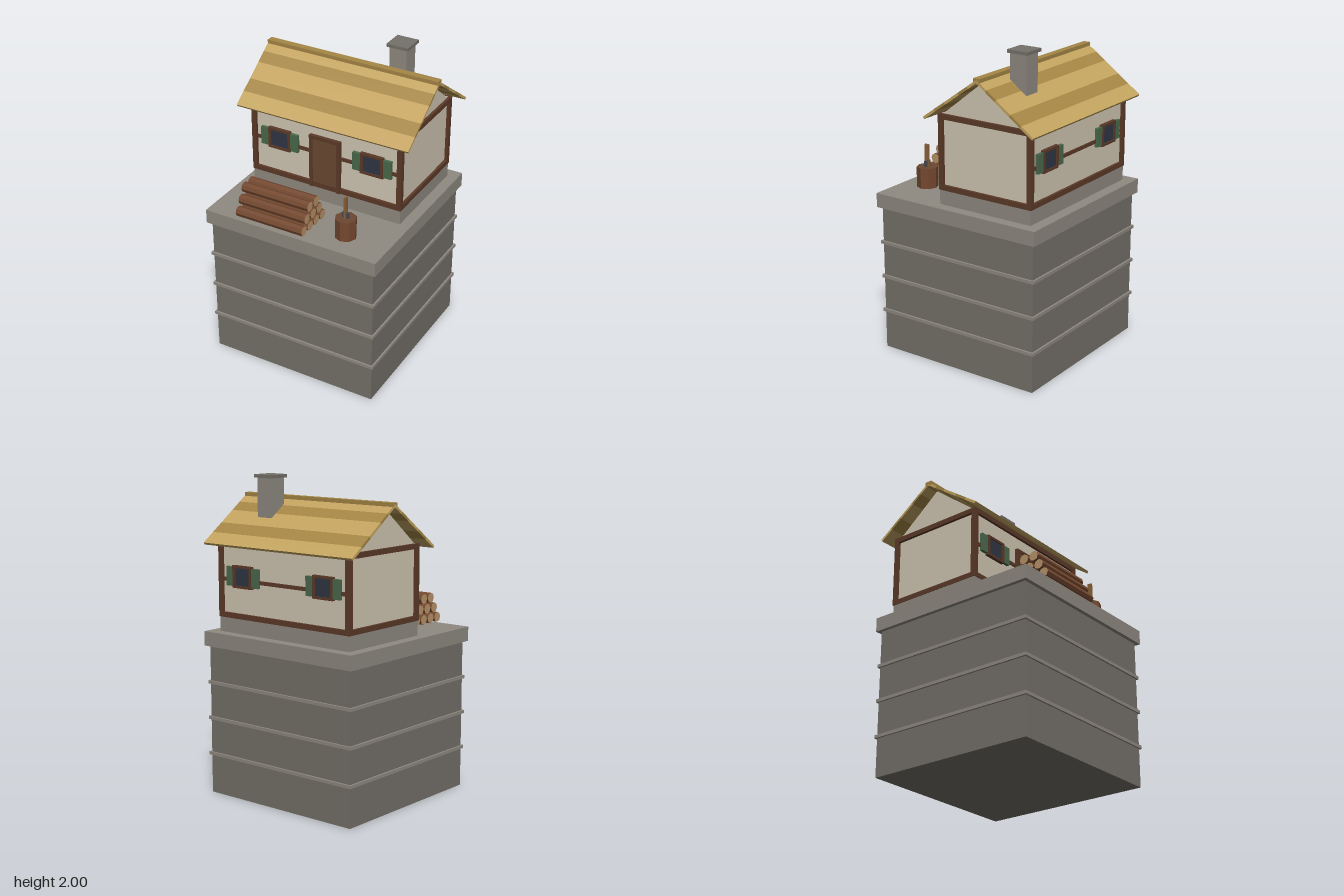
import * as THREE from 'three';

const mat = (color) => new THREE.MeshStandardMaterial({ color, flatShading: true });
const M = {
  stone: mat(0x75716a), paleStone: mat(0x8f8a81), wall: mat(0xd0c6b2), timber: mat(0x5c3a28),
  door: mat(0x6b4832), thatch: mat(0xc4a460), darkThatch: mat(0xa58645), glass: mat(0x2f3644),
  shutter: mat(0x4a6a4c), bark: mat(0x74482f), cutWood: mat(0xb89468), handle: mat(0x8a6238), iron: mat(0x4a4a4e),
};
const HOUSE_Z = -0.185;

function add(parent, name, geometry, material, x = 0, y = 0, z = 0) {
  const mesh = new THREE.Mesh(geometry, material);
  mesh.name = name;
  mesh.position.set(x, y, z);
  parent.add(mesh);
  return mesh;
}

// Box given by its limits on each axis
function box(parent, name, material, [x0, x1], [y0, y1], [z0, z1]) {
  return add(parent, name, new THREE.BoxGeometry(x1 - x0, y1 - y0, z1 - z0), material,
    (x0 + x1) / 2, (y0 + y1) / 2, (z0 + z1) / 2);
}

function group(parent, name, x = 0, y = 0, z = 0) {
  const g = new THREE.Group();
  g.name = name;
  g.position.set(x, y, z);
  parent.add(g);
  return g;
}

// Stone tower with three string courses and a cap slab
function buildTower(root) {
  const tower = group(root, 'tower');
  box(tower, 'towerBody', M.stone, [-0.56, 0.56], [0, 0.95], [-0.56, 0.56]);
  for (const y of [0.255, 0.485, 0.713])
    box(tower, 'stoneBand', M.paleStone, [-0.572, 0.572], [y - 0.01, y + 0.01], [-0.572, 0.572]);
  box(tower, 'towerCap', M.paleStone, [-0.585, 0.585], [0.944, 1.035], [-0.585, 0.585]);
}

// Window facing +z, centred on its own origin
function buildWindow(parent, x, y, z) {
  const win = group(parent, 'window', x, y, z);
  box(win, 'glass', M.glass, [-0.06, 0.06], [-0.055, 0.055], [-0.02, 0.002]);
  for (const s of [-1, 1]) {
    add(win, 'frameUpright', new THREE.BoxGeometry(0.018, 0.138, 0.03), M.timber, s * 0.068, 0, -0.005);
    add(win, 'frameRail', new THREE.BoxGeometry(0.154, 0.015, 0.03), M.timber, 0, s * 0.0615, -0.005);
    add(win, 'shutter', new THREE.BoxGeometry(0.053, 0.118, 0.03), M.shutter, s * 0.104, 0, -0.008);
  }
}

// House body: z is measured from the ridge line
function buildHouse(root) {
  const house = group(root, 'house', 0, 0, HOUSE_Z);
  box(house, 'foundation', M.paleStone, [-0.515, 0.515], [1.035, 1.135], [-0.328, 0.328]);
  box(house, 'walls', M.wall, [-0.5, 0.5], [1.13, 1.6], [-0.315, 0.315]);

  const gable = new THREE.Shape([[-0.315, 1.59], [0.315, 1.59], [0, 1.84]].map((p) => new THREE.Vector2(...p)));
  const gableGeometry = new THREE.ExtrudeGeometry(gable, { depth: 1, bevelEnabled: false });
  gableGeometry.translate(0, 0, -0.5).rotateY(Math.PI / 2);
  add(house, 'gable', gableGeometry, M.wall);

  // Timber frame
  const frame = group(house, 'timberFrame');
  for (const s of [-1, 1]) {
    for (const t of [-1, 1])
      add(frame, 'cornerPost', new THREE.BoxGeometry(0.032, 0.47, 0.032), M.timber, s * 0.503, 1.364, t * 0.317);
    for (const y of [1.143, 1.583]) {
      add(frame, 'longBeam', new THREE.BoxGeometry(1.03, 0.032, 0.03), M.timber, 0, y, s * 0.317);
      add(frame, 'sideBeam', new THREE.BoxGeometry(0.03, 0.032, 0.65), M.timber, s * 0.503, y, 0);
    }
    add(frame, 'middleRail', new THREE.BoxGeometry(1.02, 0.023, 0.02), M.timber, 0, 1.364, s * 0.313);
  }

  // The same windows on the front and the back
  for (const turn of [0, Math.PI]) {
    const face = group(house, turn ? 'backWindows' : 'frontWindows');
    face.rotation.y = turn;
    for (const s of [-1, 1]) buildWindow(face, s * 0.32, 1.387, 0.328);
  }

  // Door and its surround
  const door = group(house, 'door', -0.002);
  box(door, 'doorPanel', M.door, [-0.088, 0.088], [1.125, 1.465], [0.3, 0.332]);
  for (const s of [-1, 1])
    add(door, 'doorJamb', new THREE.BoxGeometry(0.022, 0.355, 0.04), M.timber, s * 0.095, 1.3025, 0.318);
  box(door, 'doorLintel', M.timber, [-0.106, 0.106], [1.46, 1.482], [0.298, 0.338]);
}

// Striped thatch slopes and ridge cap
function buildRoof(root) {
  const roof = group(root, 'roof', 0, 1.862, HOUSE_Z);
  const pitch = Math.atan(0.71);
  const edges = [0, 0.07, 0.136, 0.234, 0.309, 0.391].map((d) => d / Math.cos(pitch));
  for (const turn of [0, Math.PI]) {
    const side = group(roof, turn ? 'backSlope' : 'frontSlope');
    side.rotation.y = turn;
    const slope = group(side, 'thatch');
    slope.rotation.x = pitch;
    for (let i = 0; i < 5; i++)
      box(slope, 'thatchCourse', i % 2 ? M.darkThatch : M.thatch, [-0.585, 0.585], [-0.016, 0], [edges[i], edges[i + 1]]);
  }
  box(roof, 'ridgeCap', M.darkThatch, [-0.585, 0.585], [-0.026, 0.007], [-0.023, 0.023]);
}

function buildChimney(root) {
  const chimney = group(root, 'chimney', 0.278, 0, -0.3);
  box(chimney, 'chimneyStack', M.paleStone, [-0.057, 0.057], [1.62, 1.985], [-0.057, 0.057]);
  box(chimney, 'chimneyCap', M.stone, [-0.071, 0.071], [1.98, 2], [-0.071, 0.071]);
}

// Logs stacked four, three, two
function buildLogPile(root) {
  const pile = group(root, 'logPile', -0.14, 0, 0.441);
  const logGeometry = new THREE.CylinderGeometry(0.032, 0.032, 0.46, 8).rotateZ(Math.PI / 2);
  for (let row = 0; row < 3; row++) {
    const count = 4 - row;
    for (let i = 0; i < count; i++)
      add(pile, 'log', logGeometry, [M.bark, M.cutWood, M.cutWood], 0, 1.078 + row * 0.066, (i - (count - 1) / 2) * 0.072);
  }
}

// Chopping stump with an axe standing in it
function buildStump(root) {
  const stump = group(root, 'choppingStump', 0.296, 0, 0.414);
  add(stump, 'stump', new THREE.CylinderGeometry(0.067, 0.067, 0.13, 8), [M.bark, M.door, M.door], 0, 1.1, 0);
  box(stump, 'axeHandle', M.handle, [-0.006, 0.006], [1.165, 1.307], [-0.015, 0.015]);
  box(stump, 'axeHead', M.iron, [-0.022, 0.022], [1.165, 1.203], [-0.007, 0.007]);
}

export function createModel() {
  const root = new THREE.Group();
  root.name = 'towerCottage';
  for (const build of [buildTower, buildHouse, buildRoof, buildChimney, buildLogPile, buildStump]) build(root);
  return root;
}
